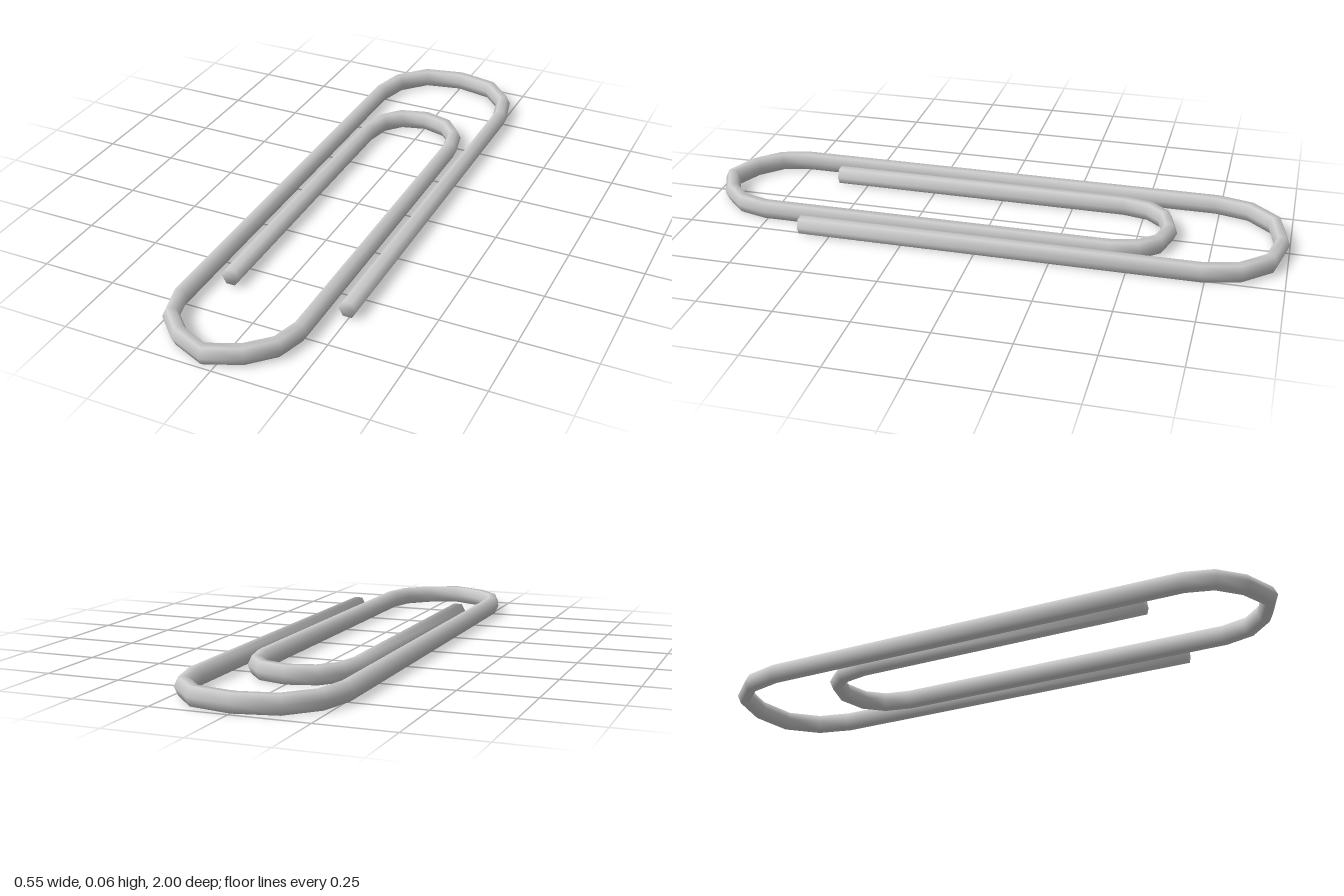
import * as THREE from 'three';

const SIDES = 6;
const WIRE_Y = 0.0295;

// Half of a U-bend, from its leg to just before the tip, as [across, along] offsets
const wideBend = [[0.245, 0.235], [0.217, 0.118], [0.134, 0.028]];
const frontBend = [[0.204, 0.21], [0.178, 0.118], [0.106, 0.046]];
const innerBend = [[0.161, 0.175], [0.142, 0.085], [0.09, 0.025]];

// Mirrors a half bend about its tip; side is the x direction of the first leg
function bend(half, cx, tipZ, side) {
  const dir = Math.sign(tipZ);
  const pt = (s) => ([a, b]) => new THREE.Vector3(cx + s * a, WIRE_Y, tipZ - dir * b);
  return [
    ...half.map(pt(side)),
    new THREE.Vector3(cx, WIRE_Y, tipZ),
    ...half.slice().reverse().map(pt(-side)),
  ];
}

// Sweeps a hexagonal section along the path, with closed ends
function wireGeometry(path) {
  const pos = [], nor = [], idx = [];
  const up = new THREE.Vector3(0, 1, 0);
  const last = path.length - 1;
  path.forEach((p, i) => {
    const tangent = new THREE.Vector3();
    if (i > 0) tangent.add(p.clone().sub(path[i - 1]).normalize());
    if (i < last) tangent.add(path[i + 1].clone().sub(p).normalize());
    tangent.normalize();
    const across = new THREE.Vector3().crossVectors(up, tangent);
    const isEnd = i === 0 || i === last;
    const rx = isEnd ? 0.03 : 0.027, ry = isEnd ? 0.031 : 0.034;
    for (let k = 0; k < SIDES; k++) {
      const a = (k / SIDES) * Math.PI * 2;
      const c = Math.cos(a), s = Math.sin(a);
      const v = p.clone().addScaledVector(across, c * rx).addScaledVector(up, s * ry);
      const n = across.clone().multiplyScalar(c).addScaledVector(up, s);
      // Softened end edges
      if (isEnd) n.addScaledVector(tangent, i === 0 ? -1 : 1).normalize();
      pos.push(v.x, v.y, v.z);
      nor.push(n.x, n.y, n.z);
      if (i < last) {
        const q = i * SIDES + k, r = i * SIDES + ((k + 1) % SIDES);
        idx.push(q, r, r + SIDES, q, r + SIDES, q + SIDES);
      }
    }
  });
  // End caps
  const e = last * SIDES;
  for (let k = 1; k < SIDES - 1; k++) {
    idx.push(0, k + 1, k, e, e + k, e + k + 1);
  }
  const g = new THREE.BufferGeometry();
  g.setAttribute('position', new THREE.Float32BufferAttribute(pos, 3));
  g.setAttribute('normal', new THREE.Float32BufferAttribute(nor, 3));
  g.setIndex(idx);
  return g;
}

export function createModel() {
  const group = new THREE.Group();
  group.name = 'paperClip';

  // One continuous wire: outer leg, back bend, front bend, inner bend, inner leg
  const path = [
    new THREE.Vector3(0.245, WIRE_Y, 0.605),
    ...bend(wideBend, 0, -0.973, 1),
    ...bend(frontBend, -0.041, 0.971, -1),
    ...bend(innerBend, 0.002, -0.605, 1),
    new THREE.Vector3(-0.158, WIRE_Y, 0.605),
  ];
  const material = new THREE.MeshStandardMaterial({ color: 0xcccccc });
  const wire = new THREE.Mesh(wireGeometry(path), material);
  wire.name = 'bentWire';
  group.add(wire);
  return group;
}
